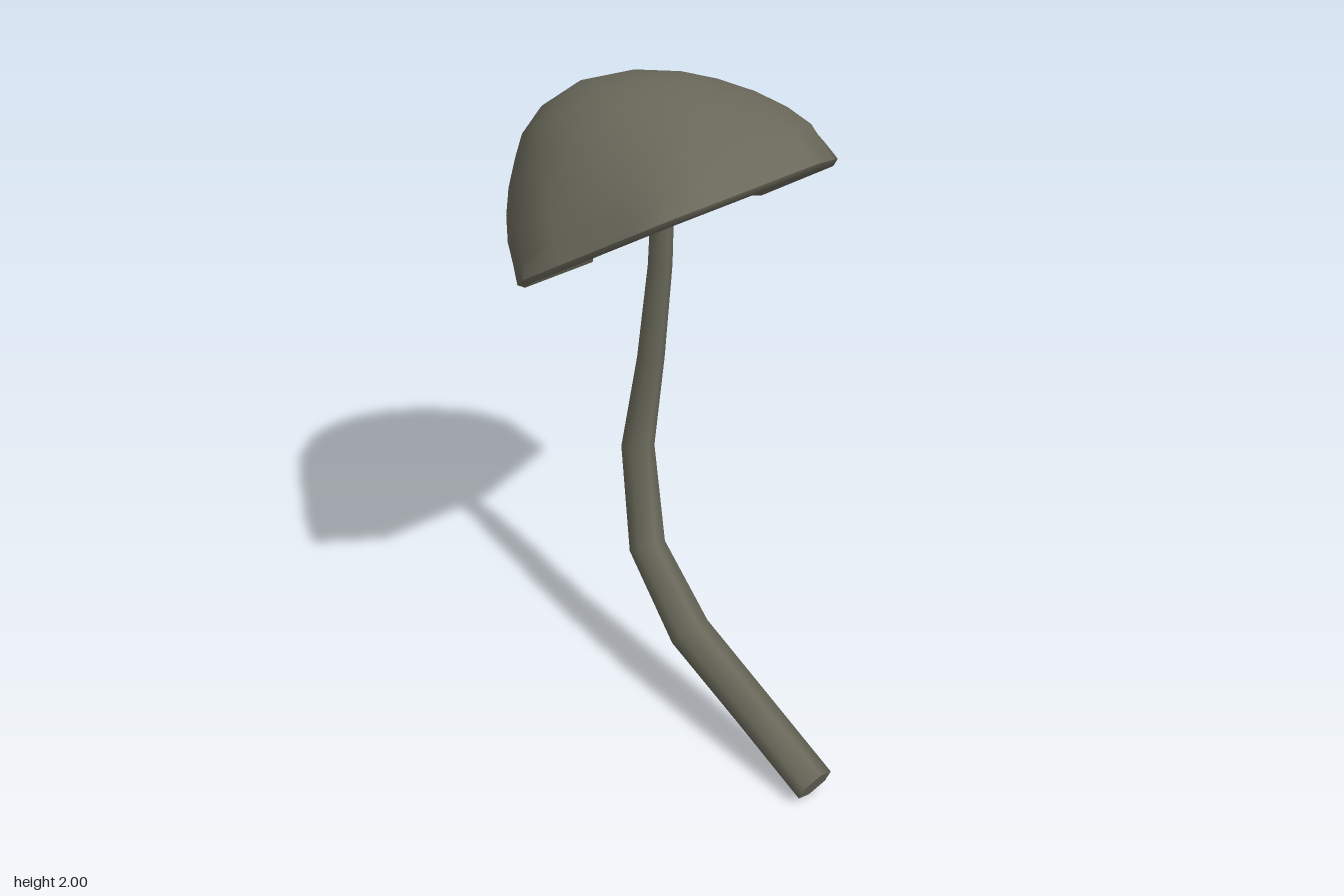
import * as THREE from 'three';

const rad = THREE.MathUtils.degToRad;

// Skins a list of closed rings; rings share vertices so shading is smooth.
function loft(rings) {
  const n = rings[0].length, index = [];
  for (let j = 0; j < rings.length - 1; j++) {
    for (let i = 0; i < n; i++) {
      const k = (i + 1) % n;
      const a = j * n + i, b = j * n + k, c = a + n, d = b + n;
      index.push(a, c, b, b, c, d);
    }
  }
  const geometry = new THREE.BufferGeometry().setFromPoints(rings.flat());
  geometry.setIndex(index);
  geometry.computeVertexNormals();
  return geometry;
}

// Piecewise linear lookup in a list of [input, output] pairs.
function lookup(table, v) {
  for (let i = 1; i < table.length; i++) {
    const [x0, y0] = table[i - 1], [x1, y1] = table[i];
    if (v <= x1) return y0 + (y1 - y0) * (v - x0) / (x1 - x0);
  }
  return table[table.length - 1][1];
}

// Cap frame: tilted backwards, h runs along the cap axis, u towards the front.
const TOP = 0.47, SIDES = 28;
const PROFILE = [[0, 0.53], [0.11, 0.485], [0.215, 0.405], [0.3, 0.335], [0.38, 0.25], [0.44, 0.14], [TOP, 0]];
// Sideways drift of the cap's middle with height
const DRIFT = [[0, 0], [0.15, 0.025], [0.3, 0.01], [TOP, -0.05]];
// How far the broken part of the rim is raised, by segment.
const TORN = { 20: 0.16, 21: 0.15, 22: 0.115, 23: 0.06, 24: 0.03 };

const segmentAngle = (i) => rad(22 + i * 360 / SIDES);

function capPoint(i, h, scale = 1) {
  const angle = segmentAngle(i), s = Math.sin(angle);
  // Seven-sided at the rim and curled in at the back, round further up
  const offset = rad((i % 4) * 360 / SIDES - 180 / 7);
  const polygon = Math.cos(Math.PI / 7) / Math.cos(offset) * (1 - 0.08 * Math.max(0, -s));
  const round = THREE.MathUtils.clamp(h / 0.22, 0, 1);
  const r = lookup(PROFILE, h) * scale * (polygon * (1 - round) + 0.98 * round);
  const x = r * Math.cos(angle) * (1 + 0.07 * round) + lookup(DRIFT, h);
  const u = r * s - 0.19 * h;
  return new THREE.Vector3(x, 1.595 + 0.829 * h + 0.559 * u, -0.17 - 0.559 * h + 0.829 * u);
}

const ring = (f) => Array.from({ length: SIDES }, (_, i) => f(i, TORN[i] || 0));

function capTop() {
  const levels = [0, 0.12, 0.25, 0.4, 0.55, 0.7, 0.82, 0.93, 1];
  return loft(levels.map((t) => ring((i, lift) => capPoint(i, lift + (TOP - lift) * t))));
}

// Hollow: a ceiling that is shallow in front and deep at the back, then a rolled lip
function capUnderside() {
  const ceiling = (i, lift) => {
    const s = Math.sin(segmentAngle(i));
    return capPoint(i, Math.max(0.1 - 0.07 * s, lift + 0.01), 0.75 + 0.12 * s);
  };
  return loft([
    ring(() => new THREE.Vector3(0.03, 1.69, -0.23)),
    ring(ceiling),
    ring((i, lift) => capPoint(i, lift + 0.025, 0.9)),
    ring((i, lift) => capPoint(i, lift - 0.015, 0.95)),
    ring((i, lift) => capPoint(i, lift)),
  ]);
}

// Stem stations: x, y, z, radius
const STEM = [
  [-0.13, 0.06, 0.635, 0.063],
  [-0.13, 0.17, 0.35, 0.064],
  [-0.125, 0.275, 0.045, 0.067],
  [-0.1, 0.465, -0.195, 0.059],
  [-0.045, 0.78, -0.3, 0.053],
  [0.0, 1.1, -0.28, 0.043],
  [0.025, 1.42, -0.257, 0.037],
  [0.037, 1.69, -0.25, 0.033],
];

function stemRings() {
  const points = STEM.map(([x, y, z]) => new THREE.Vector3(x, y, z));
  const last = points.length - 1;
  return points.map((p, j) => {
    const before = p.clone().sub(points[Math.max(0, j - 1)]).normalize();
    const after = points[Math.min(last, j + 1)].clone().sub(p).normalize();
    const along = before.add(after).normalize();
    const b = new THREE.Vector3(1, 0, 0).cross(along).normalize();
    const a = along.clone().cross(b);
    return Array.from({ length: 6 }, (_, i) => {
      const t = rad(30 + i * 60), r = STEM[j][3];
      return p.clone().addScaledVector(a, r * Math.cos(t)).addScaledVector(b, r * Math.sin(t));
    });
  });
}

export function createModel() {
  const olive = new THREE.MeshStandardMaterial({ color: 0x69685a });
  olive.name = 'olive grey';

  const model = new THREE.Group();
  model.name = 'mushroom';
  const add = (name, geometry) => {
    const mesh = new THREE.Mesh(geometry, olive);
    mesh.name = name;
    model.add(mesh);
  };

  // Cap with a torn back rim
  add('capTop', capTop());
  add('capUnderside', capUnderside());

  // Bent six-sided stem and its flat ends
  const rings = stemRings();
  const endCentre = ([x, y, z], r) => r.map(() => new THREE.Vector3(x, y, z));
  const first = rings[0], last = rings[rings.length - 1];
  add('stem', loft(rings));
  add('stemFoot', loft([endCentre(STEM[0], first), first]));
  add('stemTop', loft([last, endCentre(STEM[STEM.length - 1], last)]));

  return model;
}
